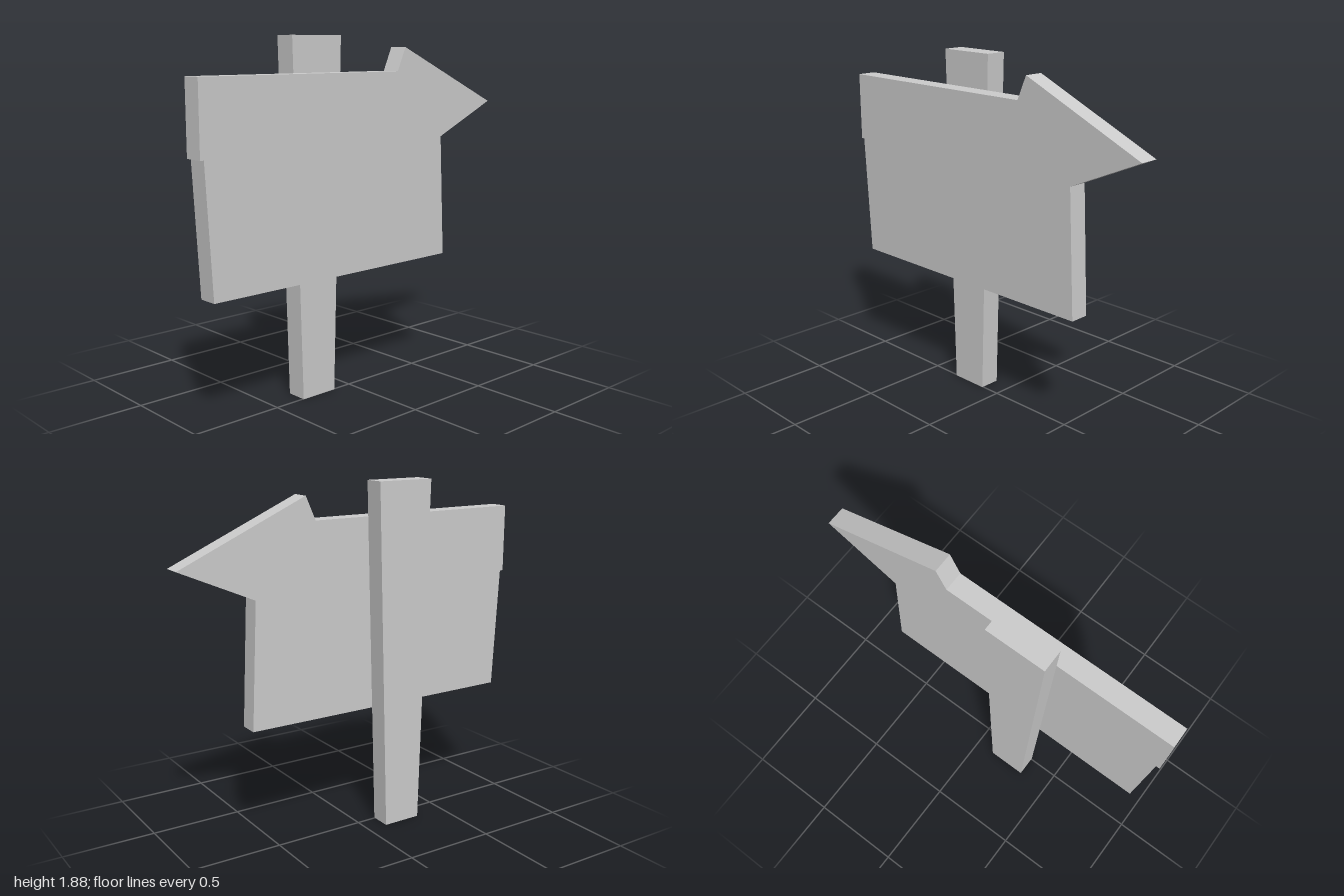
import * as THREE from 'three';

const SEAM = 0.005; // plane where board and post touch
const HALF_DEPTH = 0.11;

export function createModel() {
  const group = new THREE.Group();
  group.name = 'arrowSign';

  // Arrow-shaped board with a stepped left edge and a slanted lower panel
  const outline = [
    [-1, 1.695], [-1, 1.325], [-0.98, 1.325], [-0.945, 0.658], [0.63, 0.658],
    [0.595, 1.33], [1, 1.51], [0.305, 1.82], [0.25, 1.695],
  ].map(([x, y]) => new THREE.Vector2(x, y));
  const boardGeometry = new THREE.ExtrudeGeometry(new THREE.Shape(outline), {
    depth: HALF_DEPTH - SEAM, bevelEnabled: false,
  });
  boardGeometry.translate(0, 0, SEAM);
  const board = new THREE.Mesh(
    boardGeometry,
    new THREE.MeshStandardMaterial({ color: 0xcccccc, flatShading: true }),
  );
  board.name = 'arrowBoard';

  // Post behind the board: a box narrowing towards the ground, open underneath
  const height = 1.88;
  const depth = HALF_DEPTH + SEAM;
  const postGeometry = new THREE.BoxGeometry(1, height, depth);
  postGeometry.translate(0, height / 2, SEAM - depth / 2);
  const pos = postGeometry.attributes.position;
  for (let i = 0; i < pos.count; i++) {
    const width = THREE.MathUtils.lerp(0.215, 0.32, pos.getY(i) / height);
    pos.setX(i, -0.219 + pos.getX(i) * width);
  }
  // Leave out the bottom face (the fourth of six)
  const index = Array.from(postGeometry.index.array);
  index.splice(18, 6);
  postGeometry.setIndex(index);
  postGeometry.clearGroups();
  postGeometry.computeVertexNormals();
  const post = new THREE.Mesh(
    postGeometry,
    new THREE.MeshStandardMaterial({ color: 0xcccccc, flatShading: true, side: THREE.DoubleSide }),
  );
  post.name = 'post';

  group.add(board, post);
  return group;
}
